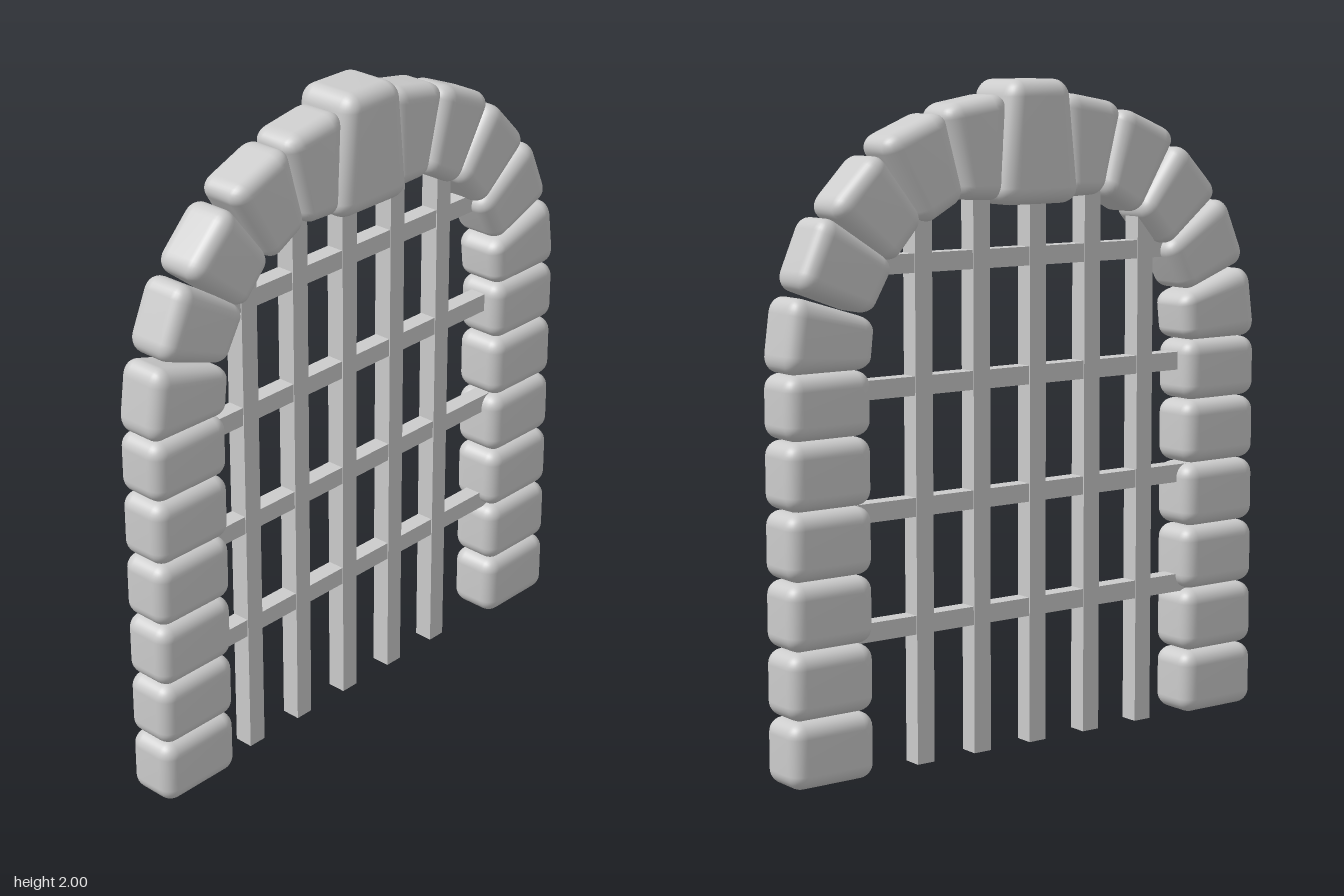
import * as THREE from 'three';
import { RoundedBoxGeometry } from 'three/addons/geometries/RoundedBoxGeometry.js';
import { mergeVertices } from 'three/addons/utils/BufferGeometryUtils.js';

const material = new THREE.MeshStandardMaterial({ color: 0xcccccc });

// Rounded block fitted to a quad; corners run a-b along the bottom, c-d along the top (c above b).
function stone(name, [a, b, c, d], depth, radius) {
  const [A, B, C, D] = [a, b, c, d].map(([x, y]) => new THREE.Vector2(x, y));
  const w = (A.distanceTo(B) + C.distanceTo(D)) / 2;
  const h = (B.distanceTo(C) + A.distanceTo(D)) / 2;
  let geo = new RoundedBoxGeometry(w, h, depth, 4, radius);
  geo.deleteAttribute('normal');
  geo.deleteAttribute('uv');
  geo = mergeVertices(geo, 1e-5);
  const p = geo.attributes.position;
  const low = new THREE.Vector2(), high = new THREE.Vector2();
  for (let i = 0; i < p.count; i++) {
    const u = p.getX(i) / w + 0.5, v = p.getY(i) / h + 0.5;
    low.lerpVectors(A, B, u);
    high.lerpVectors(D, C, u);
    low.lerp(high, v);
    p.setXY(i, low.x, low.y);
  }
  geo.computeVertexNormals();
  const mesh = new THREE.Mesh(geo, material);
  mesh.name = name;
  return mesh;
}

function bar(name, w, h, d, x, y) {
  const mesh = new THREE.Mesh(new THREE.BoxGeometry(w, h, d), material);
  mesh.name = name;
  mesh.position.set(x, y, 0);
  return mesh;
}

export function createModel() {
  const model = new THREE.Group();
  model.name = 'portcullisGate';

  // Stones of one side, on +x: inner low, outer low, outer high, inner high
  const quads = [];
  const joints = [0, 0.2, 0.4, 0.6, 0.8, 1.0, 1.19];
  for (let i = 0; i < 6; i++) {
    const y0 = joints[i] + 0.002, y1 = joints[i + 1] - 0.001;
    quads.push([[0.582, y0], [0.865, y0], [0.865, y1], [0.582, y1]]);
  }
  const archStart = quads.length;
  quads.push(
    [[0.58, 1.19], [0.87, 1.19], [0.84, 1.415], [0.565, 1.33]],
    [[0.58, 1.34], [0.825, 1.43], [0.735, 1.64], [0.495, 1.485]],
    [[0.505, 1.48], [0.715, 1.645], [0.555, 1.81], [0.395, 1.605]],
    [[0.39, 1.585], [0.545, 1.83], [0.325, 1.92], [0.255, 1.66]],
    [[0.255, 1.655], [0.33, 1.925], [0.1, 1.965], [0.12, 1.65]],
  );

  // Both sides; the mirrored quad swaps corners to keep its winding
  for (const side of [1, -1]) {
    const half = new THREE.Group();
    half.name = side > 0 ? 'leftStones' : 'rightStones';
    quads.forEach((q, i) => {
      const corners = side > 0 ? q : [q[1], q[0], q[3], q[2]].map(([x, y]) => [-x, y]);
      half.add(stone(i < archStart ? 'pillarStone' : 'archStone', corners, 0.17, 0.045));
    });
    model.add(half);
  }

  // Larger keystone at the crown
  model.add(stone('keystone', [[-0.15, 1.635], [0.15, 1.635], [0.108, 2], [-0.108, 2]], 0.216, 0.05));

  // Grille of square bars
  const grille = new THREE.Group();
  grille.name = 'grille';
  for (const [x, top] of [[-0.447, 1.58], [-0.241, 1.7], [-0.035, 1.72], [0.171, 1.72], [0.377, 1.65]]) {
    grille.add(bar('verticalBar', 0.06, top, 0.06, x, top / 2));
  }
  for (const [y, half] of [[0.42, 0.66], [0.77, 0.7], [1.125, 0.66], [1.48, 0.55]]) {
    grille.add(bar('crossBar', half * 2, 0.056, 0.054, 0, y));
  }
  model.add(grille);
  return model;
}
